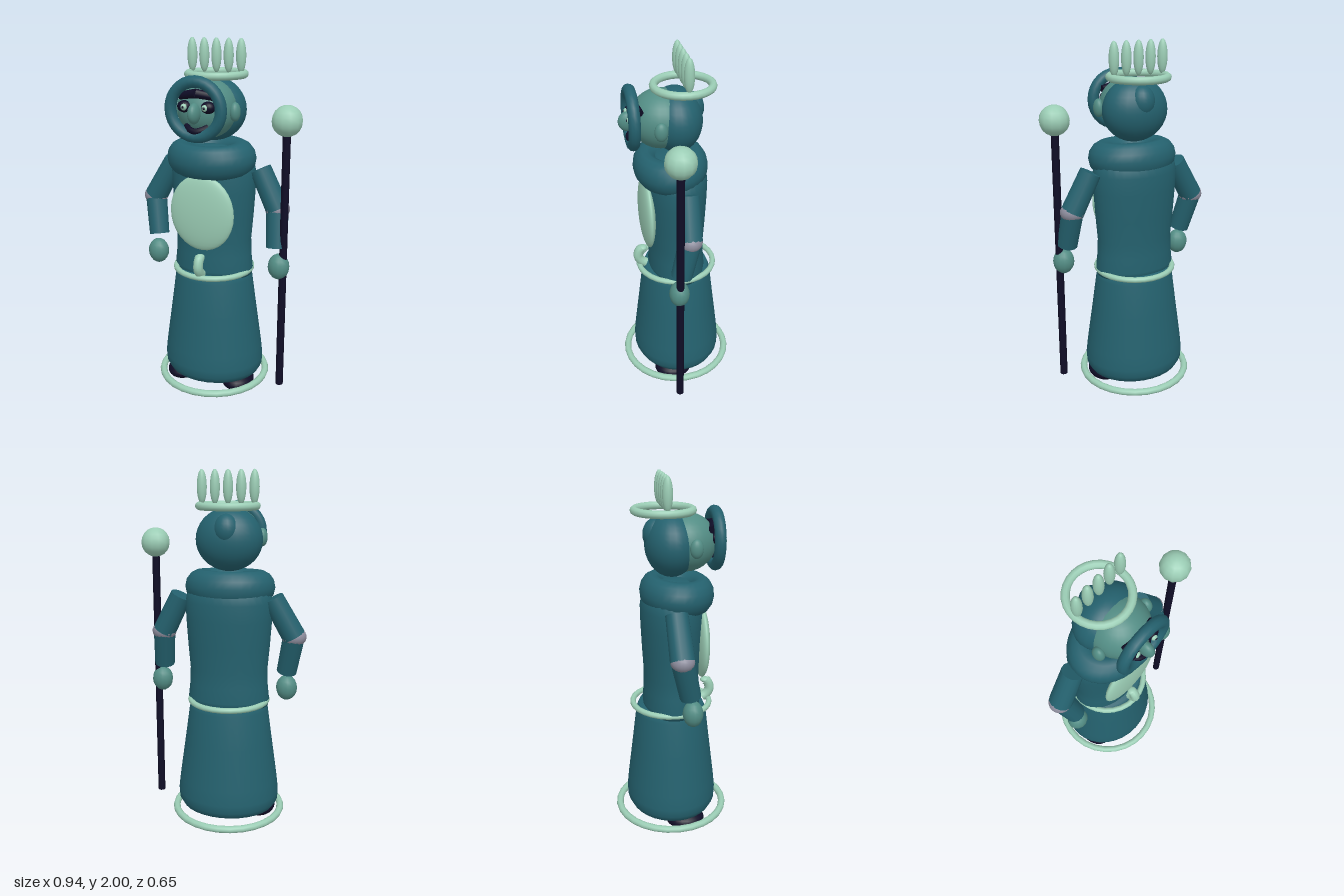
import * as THREE from 'three';

const CX = -0.043; // body axis

const paint = (name, color) => {
  const m = new THREE.MeshStandardMaterial({ color });
  m.name = name;
  return m;
};

export function createModel() {
  const root = new THREE.Group();
  root.name = 'robedFigure';
  const teal = paint('teal cloth', 0x24616e);
  const mint = paint('pale mint', 0x9bcdb5);
  const skin = paint('grey green skin', 0x528c84);
  const black = paint('ink black', 0x0f0d26);
  const grey = paint('lilac grey', 0x8d8d9d);

  const add = (name, geo, mat, x = 0, y = 0, z = 0) => {
    const m = new THREE.Mesh(geo, mat);
    m.name = name;
    m.position.set(x, y, z);
    root.add(m);
    return m;
  };
  const ball = (name, mat, x, y, z, rx, ry = rx, rz = rx, w = 20, h = 14) =>
    add(name, new THREE.SphereGeometry(1, w, h).scale(rx, ry, rz), mat, x, y, z);
  const hoop = (name, mat, x, y, z, r, t, seg = 28) =>
    add(name, new THREE.TorusGeometry(r, t, 10, seg).rotateX(Math.PI / 2), mat, x, y, z);
  const lathe = (name, pts, zScale) =>
    add(name, new THREE.LatheGeometry(pts.map(p => new THREE.Vector2(...p)), 32).scale(1, 1, zScale), teal, CX);
  const tube = (name, mat, pts, r, seg = 14) =>
    add(name, new THREE.TubeGeometry(new THREE.CatmullRomCurve3(pts.map(p => new THREE.Vector3(...p))), seg, r, 10), mat);
  const rod = (name, mat, a, b, r1, r2 = r1, seg = 14) => {
    const p = new THREE.Vector3(...a), q = new THREE.Vector3(...b);
    const m = add(name, new THREE.CylinderGeometry(r2, r1, p.distanceTo(q), seg), mat);
    m.position.copy(p).add(q).multiplyScalar(0.5);
    m.quaternion.setFromUnitVectors(new THREE.Vector3(0, 1, 0), q.sub(p).normalize());
    return m;
  };

  // Robe: skirt and narrower torso
  lathe('skirt', [[0, 0.085], [0.23, 0.085], [0.27, 0.1], [0.29, 0.135], [0.293, 0.18], [0.284, 0.26],
    [0.25, 0.5], [0.224, 0.69], [0.205, 0.73], [0, 0.74]], 0.88);
  lathe('torso', [[0, 0.68], [0.17, 0.685], [0.225, 0.71], [0.231, 0.75], [0.222, 0.83], [0.219, 0.92],
    [0.23, 1.05], [0.24, 1.2], [0.243, 1.3], [0.225, 1.38], [0.14, 1.43], [0, 1.44]], 0.69);
  hoop('hemRing', mint, CX, 0.07, 0, 0.307, 0.02);
  hoop('belt', mint, CX, 0.735, 0, 0.217, 0.016);
  for (const x of [-0.22, 0.132]) ball('foot', black, x, 0.057, 0.055, 0.092, 0.052, 0.11);

  // Collar, chest disc and belt hook
  const collar = add('collar', new THREE.TorusGeometry(0.165, 0.085, 14, 32).rotateX(Math.PI / 2).scale(1, 1.08, 0.8),
    teal, CX, 1.376, 0.03);
  collar.rotation.x = 0.06;
  ball('chestDisc', mint, CX, 1.093, 0.165, 0.186, 0.212, 0.04, 32, 16);
  tube('beltHook', mint, [[CX, 0.85, 0.195], [CX, 0.835, 0.212], [CX, 0.795, 0.222],
    [CX, 0.762, 0.205], [CX, 0.745, 0.18]], 0.027);
  ball('hookTip', mint, CX, 0.85, 0.195, 0.026, 0.016, 0.026);

  // Head
  ball('hair', teal, CX, 1.635, 0.0, 0.183, 0.17, 0.14, 26, 18);
  ball('hairBun', teal, CX, 1.69, -0.08, 0.07, 0.085, 0.07);
  ball('face', skin, CX, 1.645, 0.075, 0.16, 0.155, 0.165, 26, 18);
  add('hoodRim', new THREE.TorusGeometry(0.14, 0.031, 12, 28), teal, CX, 1.66, 0.233);
  ball('nose', skin, CX, 1.642, 0.25, 0.031, 0.053, 0.05);
  for (const s of [-1, 1]) {
    ball('ear', skin, CX + s * 0.165, 1.64, 0.105, 0.028, 0.05, 0.035);
    ball('eyeSocket', black, CX + s * 0.066, 1.672, 0.222, 0.038, 0.031, 0.032);
    ball('eye', mint, CX + s * 0.058, 1.672, 0.247, 0.017, 0.017, 0.015);
    ball('pupil', black, CX + s * 0.058, 1.672, 0.259, 0.007, 0.007, 0.006);
    rod('brow', black, [CX + s * 0.1, 1.722, 0.2], [CX, 1.74, 0.222], 0.02, 0.024);
  }
  tube('mouth', black, [[CX - 0.06, 1.57, 0.212], [CX - 0.03, 1.556, 0.238], [CX, 1.55, 0.246],
    [CX + 0.03, 1.556, 0.238], [CX + 0.06, 1.57, 0.212]], 0.017);

  // Crown
  hoop('crownRing', mint, CX, 1.813, -0.04, 0.152, 0.021);
  for (let i = -2; i <= 2; i++)
    ball('crownSpike', mint, CX + i * 0.07, 1.91, -0.04, 0.027, 0.09, 0.027, 14, 12);

  // Arms: shoulder, elbow, wrist and hand positions
  const arms = [
    [[-0.285, 1.325, -0.01], [-0.405, 1.115, 0], [-0.365, 0.9, 0.05], [-0.365, 0.8, 0.065]],
    [[0.225, 1.325, -0.01], [0.33, 1.115, 0], [0.347, 0.91, 0.05], [0.366, 0.81, 0.065]],
  ];
  for (const [shoulder, elbow, wrist, hand] of arms) {
    rod('upperArm', teal, elbow, shoulder, 0.065, 0.06);
    ball('elbow', grey, ...elbow, 0.069, 0.055, 0.063);
    rod('forearm', teal, wrist, elbow, 0.057, 0.061);
    ball('hand', skin, ...hand, 0.06, 0.072, 0.055, 14, 10);
  }

  // Staff
  rod('staff', black, [0.39, 0.09, 0.065], [0.39, 1.525, 0.065], 0.021, 0.021, 10);
  ball('staffOrb', mint, 0.39, 1.605, 0.065, 0.081, 0.081, 0.081, 12, 10);

  return root;
}
